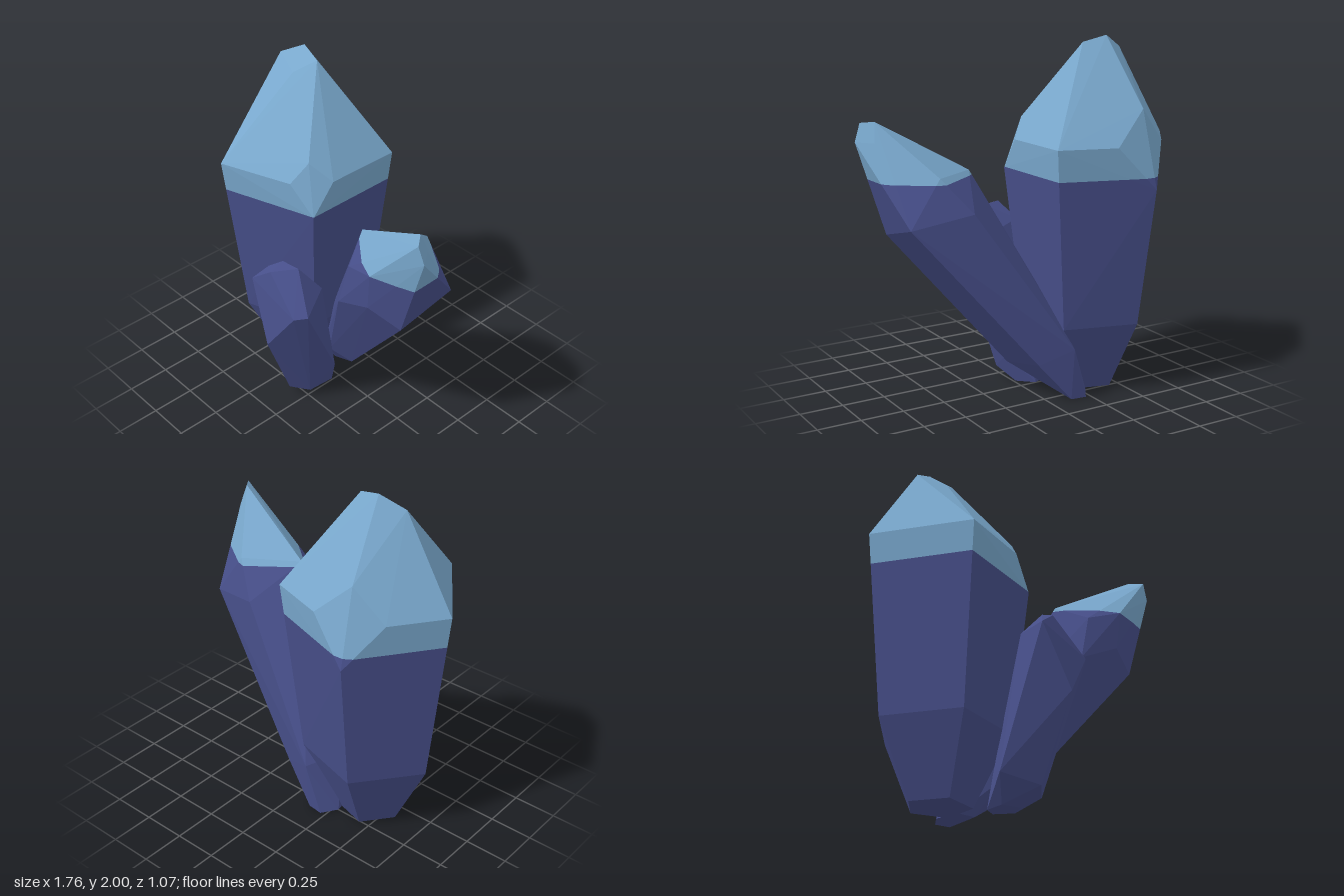
import * as THREE from 'three';
import { ConvexGeometry } from 'three/addons/geometries/ConvexGeometry.js';

const TINT_HEIGHT = 1.255;

// Keep the part of a triangle above (sign 1) or below (sign -1) the tint height
function clip(tri, sign) {
  const kept = [];
  tri.forEach((a, i) => {
    const b = tri[(i + 1) % 3];
    const da = (a.y - TINT_HEIGHT) * sign;
    const db = (b.y - TINT_HEIGHT) * sign;
    if (da >= 0) kept.push(a);
    if (da * db < 0) kept.push(a.clone().lerp(b, da / (da - db)));
  });
  const out = [];
  for (let i = 1; i + 1 < kept.length; i++) out.push(kept[0], kept[i], kept[i + 1]);
  return out;
}

// Faceted crystal: hull of its corners, split into body and tip
function crystal(name, corners, bodyMat, tipMat) {
  const group = new THREE.Group();
  group.name = name;
  const hull = new ConvexGeometry(corners.map((c) => new THREE.Vector3(...c)));
  const pos = hull.attributes.position;
  for (const [part, sign, mat] of [['Body', -1, bodyMat], ['Tip', 1, tipMat]]) {
    const points = [];
    for (let i = 0; i < pos.count; i += 3) {
      const tri = [0, 1, 2].map((k) => new THREE.Vector3().fromBufferAttribute(pos, i + k));
      points.push(...clip(tri, sign));
    }
    if (!points.length) continue;
    const geo = new THREE.BufferGeometry().setFromPoints(points);
    geo.computeVertexNormals();
    const mesh = new THREE.Mesh(geo, mat);
    mesh.name = name + part;
    group.add(mesh);
  }
  return group;
}

export function createModel() {
  const violet = new THREE.MeshStandardMaterial({ color: 0x474f8a });
  violet.name = 'violet';
  const paleBlue = new THREE.MeshStandardMaterial({ color: 0x79a8cd });
  paleBlue.name = 'paleBlue';

  // Tall crystal: a five-sided prism tapering to its foot
  const shoulder = [[-0.88, -0.1], [-0.54, 0.38], [0.01, 0.19], [0.01, -0.39], [-0.53, -0.54]];
  const ring = (y, s) => shoulder.map(([x, z]) => [-0.385 + (x + 0.385) * s, y, -0.09 + (z + 0.09) * s]);
  const tall = [
    ...ring(0, 0.37), ...ring(0.41, 0.77),
    [-0.88, 1.43, -0.1], [-0.54, 1.43, 0.38], [0.01, 1.43, -0.39],
    // chipped front right corner
    [-0.085, 1.54, 0.14], [0.01, 1.43, 0.05], [-0.13, 1.43, 0.235], [0, 1.25, 0.185],
    // chipped back corner
    [-0.51, 1.62, -0.43], [-0.68, 1.43, -0.375], [-0.31, 1.43, -0.49], [-0.53, 1.19, -0.54],
    // blunt peak
    [-0.58, 1.93, -0.1], [-0.45, 2, -0.16], [-0.315, 1.965, -0.13], [-0.41, 1.89, -0.04],
  ];

  // Leaning crystal
  const leaning = [
    // foot
    [-0.14, 0, -0.1], [-0.13, 0, -0.33], [-0.22, 0, -0.34], [-0.28, 0, -0.25], [-0.25, 0, -0.1],
    // lower ring
    [0.1, 0.17, -0.01], [0.06, 0.22, -0.29], [-0.13, 0.3, -0.36], [-0.22, 0.32, -0.14], [-0.05, 0.2, 0.03],
    // shoulder
    [0.72, 0.94, 0.23], [0.74, 1.03, -0.12], [0.41, 1.1, -0.21], [0.56, 1.29, -0.11], [0.28, 1.28, 0.09],
    // chipped front corner
    [0.37, 1.18, 0.27], [0.575, 1.255, 0.32], [0.55, 1.03, 0.305], [0.3, 0.91, 0.28],
    // blunt peak
    [0.79, 1.57, 0.19], [0.845, 1.56, 0.26], [0.88, 1.46, 0.25], [0.81, 1.46, 0.155],
  ];

  // Small front crystal
  const small = [
    // foot
    [-0.17, 0, 0.16], [-0.06, 0, 0.18], [0, 0.01, 0.06], [-0.1, 0, 0], [-0.17, 0, 0.04],
    // lower ring
    [-0.265, 0.13, 0.26], [-0.06, 0.08, 0.34], [0.02, 0.05, 0.25], [0.05, 0.17, 0.08], [-0.16, 0.2, 0.08],
    // shoulder
    [-0.17, 0.91, 0.49], [-0.01, 0.55, 0.53], [0.15, 0.79, 0.47], [0.2, 0.8, 0.41],
    [0.1, 0.85, 0.22], [-0.14, 0.92, 0.28],
    // blunt peak
    [-0.06, 1.02, 0.36], [0.04, 1.01, 0.335], [-0.06, 0.99, 0.45], [-0.11, 0.99, 0.42],
  ];

  const model = new THREE.Group();
  model.name = 'crystalCluster';
  model.add(
    crystal('tallCrystal', tall, violet, paleBlue),
    crystal('leaningCrystal', leaning, violet, paleBlue),
    crystal('smallCrystal', small, violet, paleBlue),
  );
  return model;
}
